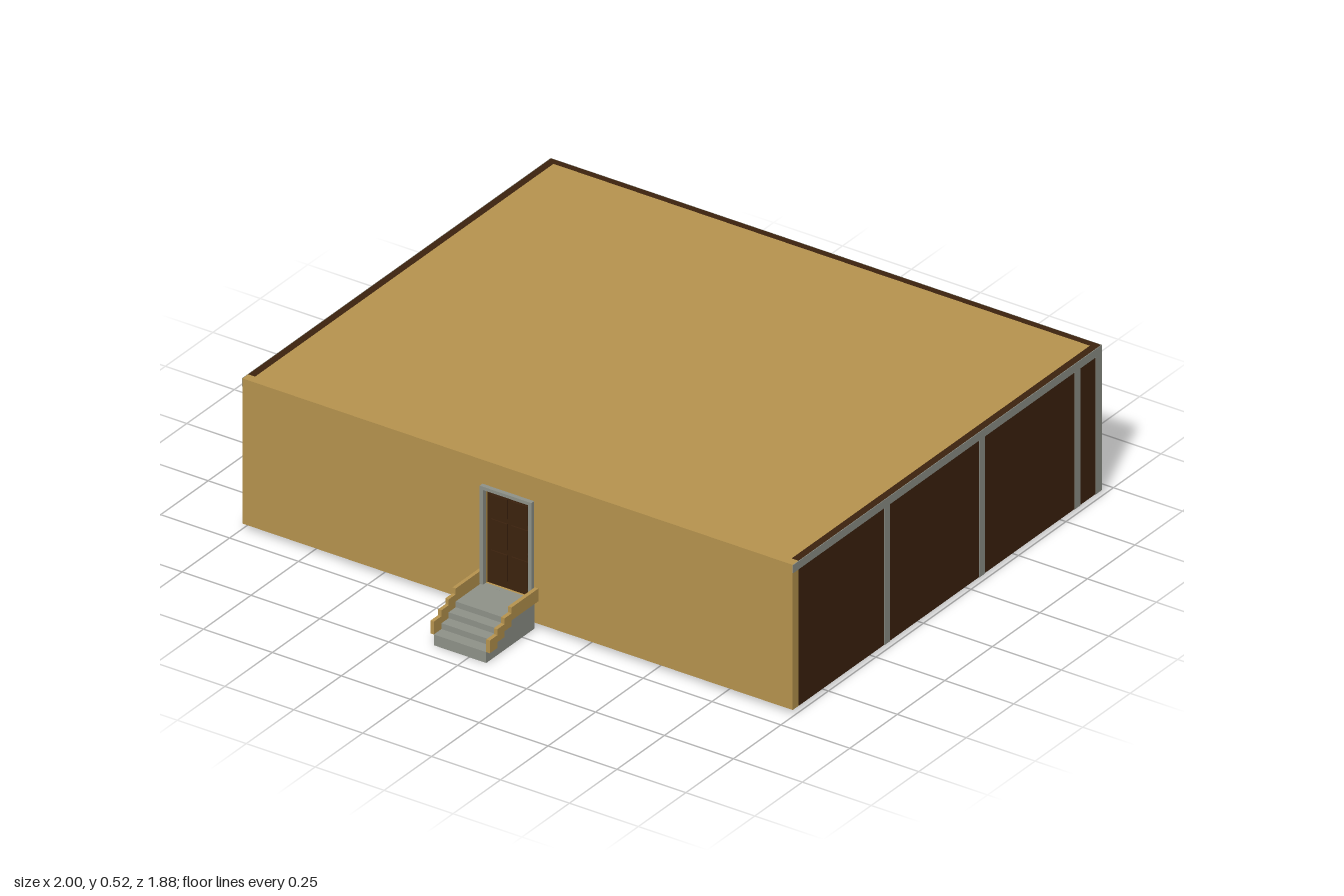
import * as THREE from 'three';

const mat = (name, color) => {
  const m = new THREE.MeshStandardMaterial({ color });
  m.name = name;
  return m;
};

export function createModel() {
  const tan = mat('tan', 0xb8954f);
  const brown = mat('dark brown', 0x3d230e);
  const gray = mat('gray', 0x90938a);

  const model = new THREE.Group();
  model.name = 'building';

  // Box given by its extents on each axis
  const box = (name, material, [x0, x1], [y0, y1], [z0, z1]) => {
    const mesh = new THREE.Mesh(new THREE.BoxGeometry(x1 - x0, y1 - y0, z1 - z0), material);
    mesh.position.set((x0 + x1) / 2, (y0 + y1) / 2, (z0 + z1) / 2);
    mesh.name = name;
    model.add(mesh);
    return mesh;
  };
  const shapeFrom = (pts) => new THREE.Shape(pts.map(([x, y]) => new THREE.Vector2(x, y)));
  const rect = (x0, x1, y0, y1) => [[x0, y0], [x1, y0], [x1, y1], [x0, y1]];
  const extrude = (name, material, shape, depth) => {
    const mesh = new THREE.Mesh(new THREE.ExtrudeGeometry(shape, { depth, bevelEnabled: false }), material);
    mesh.name = name;
    model.add(mesh);
    return mesh;
  };

  const bottom = 0.02, top = 0.518, back = -0.94, front = 0.685;
  const out = 0.998, skin = 0.002, wall = 0.025, strip = 0.03;
  const height = [bottom, top];

  // Shell, open underneath
  box('roof', tan, [-out + wall, out - wall], [0.493, top], [back + wall, front - strip]);
  box('backWall', brown, [-out, out], height, [back + skin, back + wall]);
  box('leftWall', brown, [out - wall, out], height, [back + wall, front - strip]);
  box('rightWall', brown, [-out, -out + wall], height, [back + wall, front - strip]);

  // Front wall with doorway
  const frontShape = shapeFrom(rect(-out, out, bottom, top));
  frontShape.holes.push(shapeFrom(rect(-0.115, 0.048, 0.1, 0.425)));
  extrude('frontWall', tan, frontShape, strip).position.z = front - strip;

  // Top rails and posts on the panelled walls
  const rail = [top - 0.028, top];
  const postHeight = [bottom, top - 0.028];
  box('backRail', gray, [-1, 1], rail, [back, back + skin]);
  for (const x of [-0.985, -0.5, 0, 0.5, 0.985])
    box('backPost', gray, [x - 0.015, x + 0.015], postHeight, [back, back + skin]);

  const sides = [
    { s: 1, posts: [0.19, -0.31, -0.812, -0.923] },
    { s: -1, posts: [0.56, 0.06, -0.44, -0.923] },
  ];
  for (const { s, posts } of sides) {
    const x = s > 0 ? [out, 1] : [-1, -out];
    box('sideRail', gray, x, rail, [back + skin, front]);
    for (const z of posts) box('sidePost', gray, x, postHeight, [z - 0.015, z + 0.015]);
  }

  // Door, raised panels and knob
  box('door', brown, [-0.115, 0.048], [0.1, 0.425], [front - strip, front - 0.008]);
  for (const x of [-0.1, -0.026])
    for (const [y0, y1] of [[0.125, 0.215], [0.232, 0.322], [0.339, 0.405]])
      box('doorPanel', brown, [x, x + 0.059], [y0, y1], [front - 0.008, front - 0.004]);
  const knob = new THREE.Mesh(new THREE.SphereGeometry(0.005, 10, 8), brown);
  knob.position.set(0.04, 0.245, front - 0.002);
  knob.name = 'doorKnob';
  model.add(knob);

  // Door frame
  const frame = shapeFrom(rect(-0.127, 0.06, 0.1, 0.436));
  frame.holes.push(shapeFrom(rect(-0.115, 0.048, 0.1001, 0.425)));
  extrude('doorFrame', gray, frame, 0.015).position.z = front;

  // Stepped profiles, drawn in (z, y) and extruded along x
  const treads = [[0.825, 0.097], [0.862, 0.077], [0.9, 0.057], [0.94, 0.037]];
  const stairLine = (lift) => {
    const pts = [[front, treads[0][1] + lift]];
    treads.forEach(([z, y], i) => {
      pts.push([z, y + lift]);
      if (i < 3) pts.push([z, treads[i + 1][1] + lift]);
    });
    return pts;
  };
  const alongX = (name, material, pts, x0, x1) => {
    const mesh = extrude(name, material, shapeFrom(pts), x1 - x0);
    mesh.rotation.y = -Math.PI / 2;
    mesh.position.x = x1;
  };
  alongX('steps', gray, [...stairLine(0), [0.94, 0], [front, 0]], -0.128, 0.062);
  const curb = [...stairLine(0.044), ...stairLine(0).reverse()];
  alongX('stairCurb', tan, curb, -0.14, -0.128);
  alongX('stairCurb', tan, curb, 0.062, 0.075);

  return model;
}
